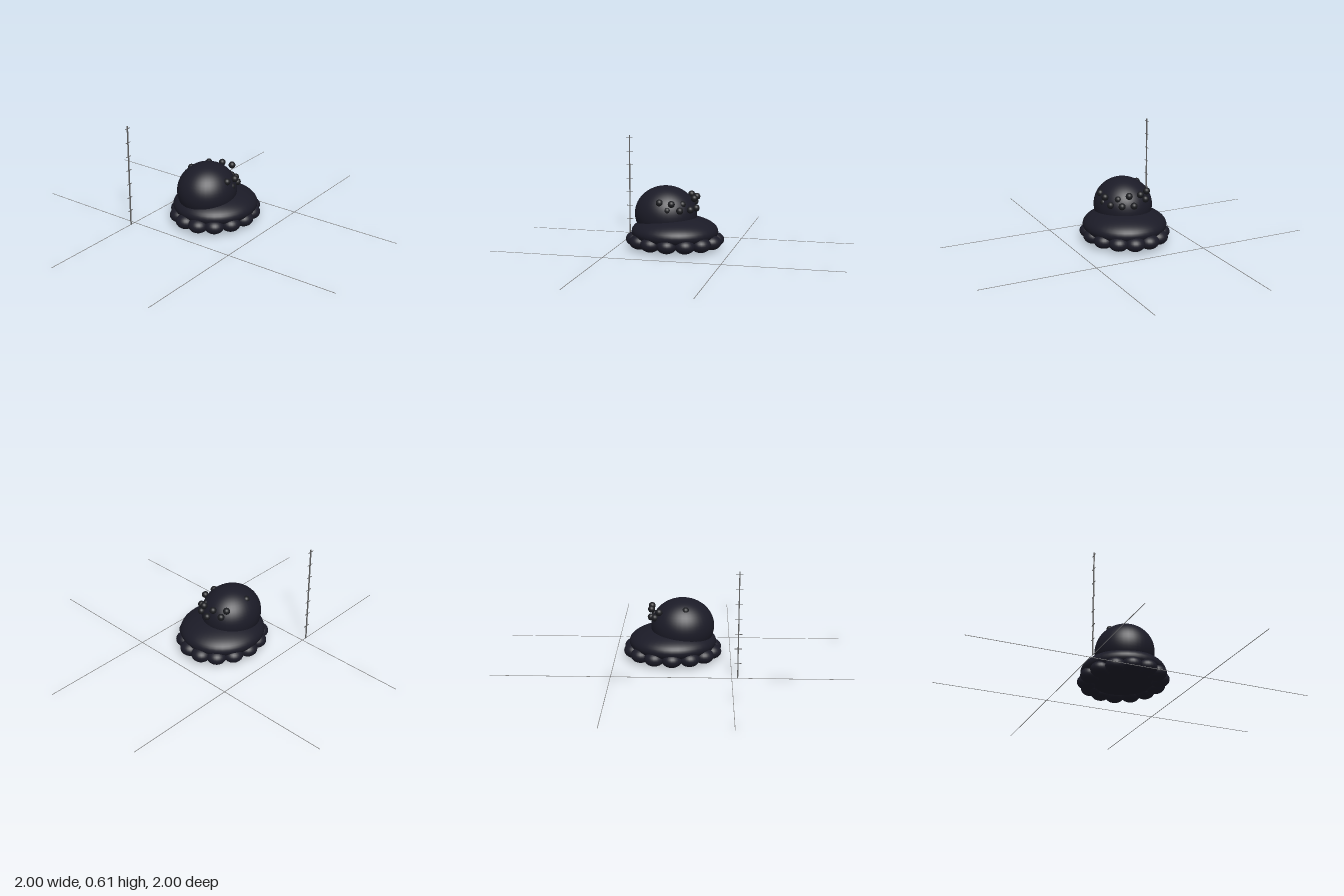
import * as THREE from 'three';

export function createModel() {
  const model = new THREE.Group();
  const paint = (name, color) => {
    const m = new THREE.MeshStandardMaterial({ color });
    m.name = name;
    return m;
  };
  const bodyPaint = paint('dark navy', 0x1b1b27);
  const beadPaint = paint('charcoal', 0x1b1c20);
  const linePaint = paint('line grey', 0x888888);
  const polePaint = paint('pole grey', 0x666666);

  const add = (name, geometry, material, x, y, z, parent = model) => {
    const mesh = new THREE.Mesh(geometry, material);
    mesh.name = name;
    mesh.position.set(x, y, z);
    parent.add(mesh);
    return mesh;
  };
  const group = (name) => {
    const g = new THREE.Group();
    g.name = name;
    model.add(g);
    return g;
  };

  // Rounded body and offset dome
  const ball = new THREE.SphereGeometry(1, 40, 28);
  add('body', ball, bodyPaint, 0, 0.1, 0).scale.set(0.25, 0.092, 0.24);
  add('dome', ball, bodyPaint, -0.057, 0.198, -0.017).scale.set(0.18, 0.16, 0.167);

  // Scalloped skirt: an oval ring of slightly flattened, overlapping lobes
  const skirt = group('skirt');
  const lobe = new THREE.SphereGeometry(0.057, 24, 16).scale(1, 0.75, 1);
  const lobes = 14;
  for (let i = 0; i < lobes; i++) {
    const a = Math.PI / 2 + (i / lobes) * Math.PI * 2;
    add('lobe', lobe, bodyPaint, Math.cos(a) * 0.228, 0.052, Math.sin(a) * 0.198, skirt);
  }

  // Beads clustered around one side of the dome
  const beads = group('beads');
  const bead = new THREE.SphereGeometry(0.02, 16, 12);
  [
    [-0.06, 0.282, 0.125], [0.01, 0.277, 0.128], [0.06, 0.268, 0.07],
    [-0.015, 0.239, 0.125], [0.055, 0.239, 0.115], [0.105, 0.239, 0.067],
    [0.125, 0.239, 0.002], [0.12, 0.299, 0.03], [0.12, 0.299, -0.04],
    [0.1, 0.262, -0.083], [0.075, 0.3, -0.103], [-0.075, 0.315, -0.115],
  ].forEach((p) => add('bead', bead, beadPaint, ...p, beads));

  // Crossing ground lines
  const lines = group('groundLines');
  for (const s of [-1, 1]) {
    add('lineAcross', new THREE.BoxGeometry(2, 0.002, 0.003), linePaint, 0, 0.001, s * 0.333, lines);
    add('lineAlong', new THREE.BoxGeometry(0.003, 0.002, 2), linePaint, s * 0.333, 0.001, 0, lines);
  }

  // Measuring pole with evenly spaced ticks
  const pole = group('measuringPole');
  add('post', new THREE.BoxGeometry(0.006, 0.605, 0.006), polePaint, -0.365, 0.3025, -0.333, pole);
  const tick = new THREE.BoxGeometry(0.04, 0.003, 0.003);
  for (let i = 1; i <= 7; i++) add('tick', tick, polePaint, -0.365, 0.005 + i * 0.0835, -0.333, pole);

  return model;
}
